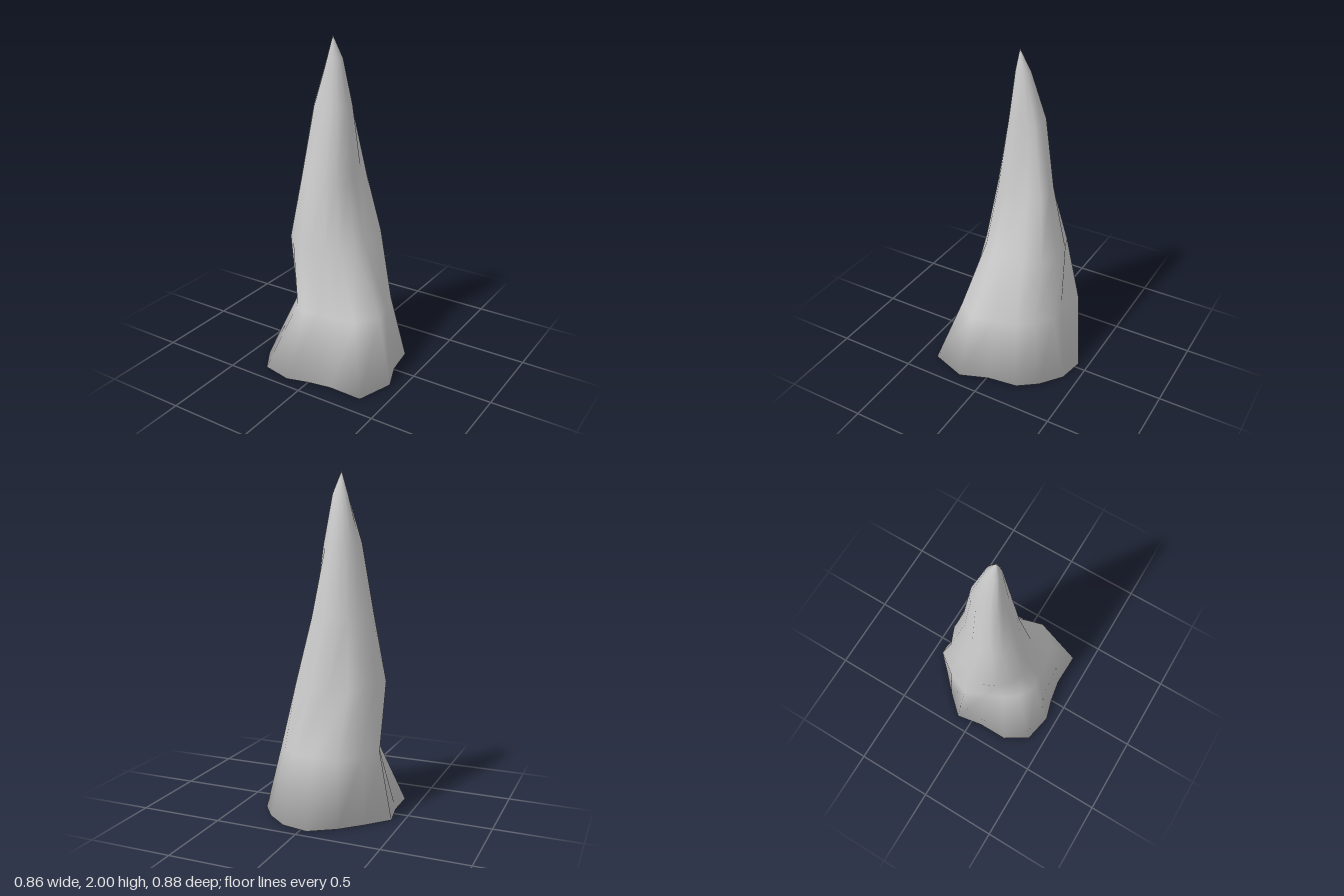
import * as THREE from 'three';

// Ground outline of the spike as [x, z]
const outline = [
  [0.36, -0.01], [0.425, 0.16], [0.35, 0.38], [0.14, 0.375],
  [0, 0.4], [-0.13, 0.437], [-0.31, 0.4], [-0.4, 0.255],
  [-0.4, 0.07], [-0.43, -0.1], [-0.31, -0.23], [-0.19, -0.345],
  [-0.04, -0.44], [0.12, -0.41], [0.25, -0.31], [0.335, -0.195],
];

// Cross-sections above the ground: height, centre, radius along each outline direction
const sections = [
  { y: 0.4, x: 0, z: 0,
    r: [0.29, 0.345, 0.34, 0.29, 0.28, 0.31, 0.3, 0.29, 0.295, 0.355, 0.36, 0.395, 0.31, 0.33, 0.3, 0.29] },
  { y: 0.79, x: -0.08, z: 0,
    r: [0.22, 0.215, 0.22, 0.22, 0.235, 0.25, 0.25, 0.255, 0.262, 0.23, 0.245, 0.275, 0.285, 0.3, 0.31, 0.275] },
  { y: 1.18, x: -0.1, z: -0.02,
    r: [0.15, 0.155, 0.17, 0.17, 0.175, 0.18, 0.185, 0.175, 0.16, 0.145, 0.13, 0.145, 0.17, 0.19, 0.215, 0.175] },
  { y: 1.59, x: -0.085, z: -0.03,
    r: [0.105, 0.11, 0.11, 0.105, 0.1, 0.105, 0.125, 0.12, 0.105, 0.1, 0.105, 0.105, 0.105, 0.105, 0.105, 0.105] },
  { y: 1.87, x: -0.067, z: -0.01, r: Array(16).fill(0.045) },
];

function spikeGeometry() {
  const n = outline.length;
  const position = [];
  const index = [];

  for (const [x, z] of outline) position.push(x, 0, z);
  for (const s of sections) {
    outline.forEach(([x, z], k) => {
      const a = Math.atan2(z, x);
      position.push(s.x + Math.cos(a) * s.r[k], s.y, s.z + Math.sin(a) * s.r[k]);
    });
  }
  // One tip point per side, so the shading runs straight up to the point
  const tip = position.length / 3;
  for (let k = 0; k < n; k++) position.push(-0.067, 2, 0.01);
  const floor = tip + n;
  position.push(0, 0, 0);

  const top = sections.length * n;
  for (let k = 0; k < n; k++) {
    const next = (k + 1) % n;
    // Walls between neighbouring cross-sections
    for (let i = 0; i < sections.length; i++) {
      const a = i * n + k, b = i * n + next;
      index.push(a, a + n, b, b, a + n, b + n);
    }
    // Pointed tip and flat underside
    index.push(top + k, tip + k, top + next);
    index.push(floor, k, next);
  }

  const geometry = new THREE.BufferGeometry();
  geometry.setAttribute('position', new THREE.Float32BufferAttribute(position, 3));
  geometry.setIndex(index);
  geometry.computeVertexNormals(); // smooth all over, including the base rim
  return geometry;
}

export function createModel() {
  const group = new THREE.Group();
  group.name = 'stalagmite';
  const spike = new THREE.Mesh(spikeGeometry(), new THREE.MeshStandardMaterial({ color: 0xcccccc }));
  spike.name = 'rockSpike';
  group.add(spike);
  return group;
}
